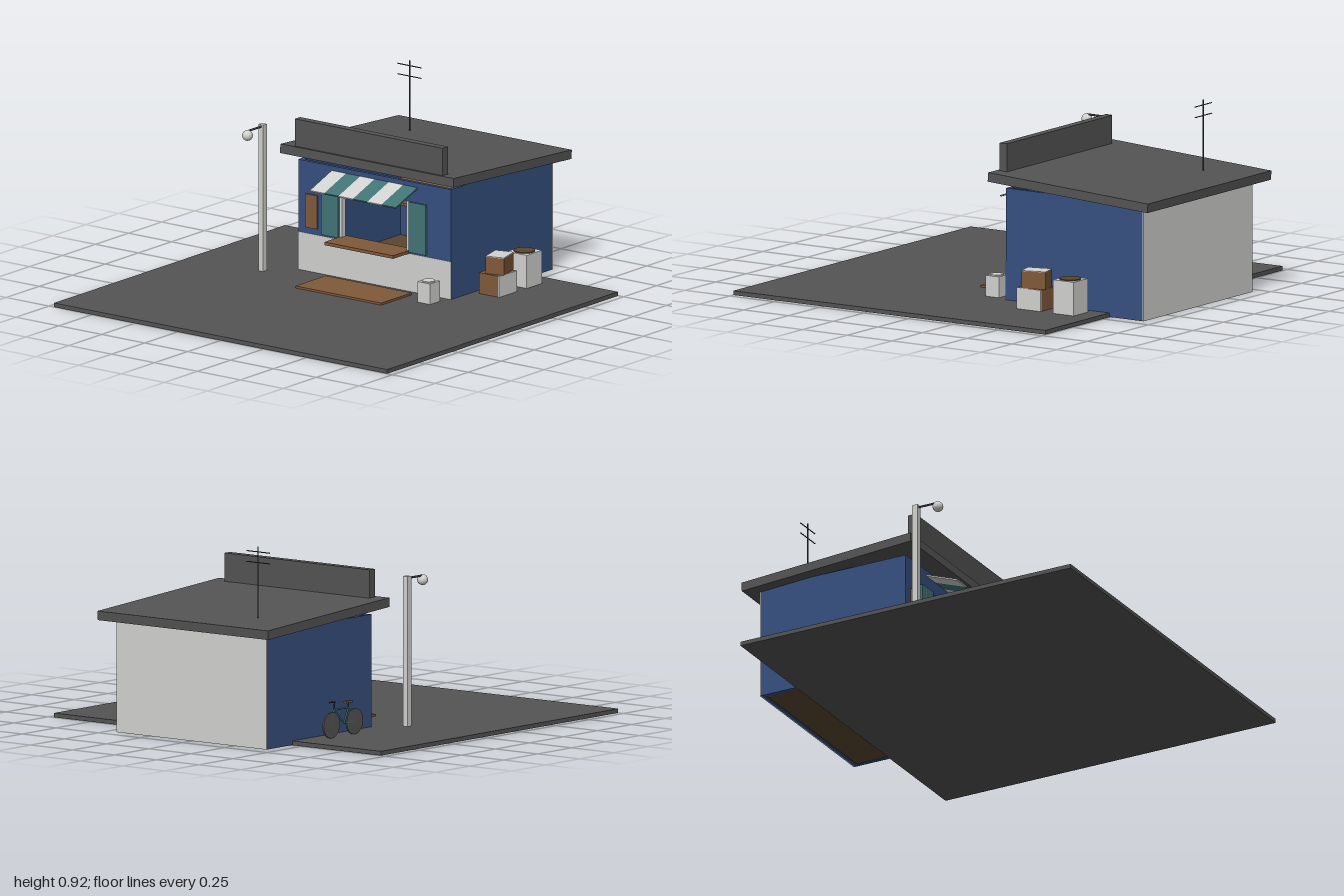
import * as THREE from 'three';

const mat = (name, color) => {
  const m = new THREE.MeshStandardMaterial({ color });
  m.name = name;
  return m;
};

export function createModel() {
  const root = new THREE.Group();
  root.name = 'kioskScene';
  const asphalt = mat('asphalt grey', 0x545454);
  const blue = mat('wall blue', 0x365080);
  const light = mat('light grey', 0xd2d2d0);
  const teal = mat('teal', 0x417476);
  const wood = mat('wood brown', 0x80593a);
  const darkWood = mat('dark brown', 0x5a4630);
  const metal = mat('dark metal', 0x3c3c3c);

  const add = (name, geo, m, x = 0, y = 0, z = 0, parent = root) => {
    const mesh = new THREE.Mesh(geo, m);
    mesh.name = name;
    mesh.position.set(x, y, z);
    parent.add(mesh);
    return mesh;
  };
  // box given by its limits on each axis
  const box = (name, m, [x0, x1], [y0, y1], [z0, z1], parent = root) =>
    add(name, new THREE.BoxGeometry(x1 - x0, y1 - y0, z1 - z0), m,
      (x0 + x1) / 2, (y0 + y1) / 2, (z0 + z1) / 2, parent);
  // round bar between two points
  const bar = (name, m, a, b, r, parent = root) => {
    const p = new THREE.Vector3(...a), q = new THREE.Vector3(...b);
    const d = q.clone().sub(p);
    const mesh = add(name, new THREE.CylinderGeometry(r, r, d.length(), 8), m, 0, 0, 0, parent);
    mesh.position.copy(p).add(q).multiplyScalar(0.5);
    mesh.quaternion.setFromUnitVectors(new THREE.Vector3(0, 1, 0), d.normalize());
    return mesh;
  };

  // ground and deck
  box('ground', asphalt, [-1, 0.745], [0, 0.02], [-0.97, 0.97]);
  box('deck', wood, [-0.11, 0.12], [0.02, 0.03], [-0.25, 0.25]);

  // building shell
  const house = new THREE.Group();
  house.name = 'building';
  root.add(house);
  box('floor', darkWood, [0.185, 0.915], [0.003, 0.03], [-0.425, 0.425], house);
  for (const s of [-1, 1]) {
    box('sideWall', blue, [0.165, 0.93], [0.001, 0.545], [s * 0.435 - 0.01, s * 0.435 + 0.01], house);
    box('facadeSide', blue, [0.165, 0.185], [0.2, 0.545], [s * 0.3125 - 0.1125, s * 0.3125 + 0.1125], house);
    box('windowPost', light, [0.16, 0.188], [0.21, 0.45], [s * 0.195 - 0.007, s * 0.195 + 0.007], house);
    box('shutter', teal, [0.153, 0.165], [0.21, 0.45], [s * 0.255 - 0.05, s * 0.255 + 0.05], house);
  }
  box('rearWallInner', blue, [0.91, 0.93], [0.001, 0.53], [-0.425, 0.425], house);
  box('rearWallPanel', light, [0.93, 0.936], [0.001, 0.53], [-0.445, 0.445], house);
  box('facadeBase', light, [0.163, 0.185], [0.001, 0.2], [-0.445, 0.445], house);
  box('facadeHead', blue, [0.165, 0.185], [0.45, 0.545], [-0.2, 0.2], house);
  box('noticeBoard', wood, [0.157, 0.165], [0.23, 0.39], [-0.4, -0.33], house);
  box('counter', wood, [0.045, 0.2], [0.2, 0.215], [-0.2, 0.2], house);
  for (const y of [0.2, 0.3, 0.4])
    box('innerShelf', wood, [0.82, 0.91], [y, y + 0.012], [-0.4, 0.4], house);

  // sloping roof and parapet board
  const roof = add('roof', new THREE.BoxGeometry(0.895, 0.043, 1.01), asphalt, 0.5525, 0.573, 0);
  roof.rotation.z = -0.059;
  box('parapet', asphalt, [0.12, 0.16], [0.6, 0.75], [-0.43, 0.43]);

  // striped awning
  const awning = new THREE.Group();
  awning.name = 'awning';
  awning.position.set(0.083, 0.49, 0);
  awning.rotation.z = Math.atan2(0.06, 0.165);
  root.add(awning);
  for (let i = 0; i < 6; i++)
    add('awningStripe', new THREE.BoxGeometry(0.176, 0.007, 0.5 / 6), i % 2 ? teal : light,
      0, 0, -0.25 + (i + 0.5) * 0.5 / 6, awning);

  // roof antenna
  bar('antennaMast', metal, [0.78, 0.56, -0.27], [0.78, 0.915, -0.27], 0.003);
  for (const y of [0.84, 0.89])
    bar('antennaBar', metal, [0.78, y, -0.34], [0.78, y, -0.203], 0.0025);

  // street lamp
  box('lampPole', light, [0.03, 0.058], [0.01, 0.72], [-0.574, -0.546]);
  bar('lampArm', metal, [0.03, 0.71, -0.56], [-0.07, 0.71, -0.56], 0.005);
  add('lampGlobe', new THREE.SphereGeometry(0.025, 20, 14), light, -0.07, 0.69, -0.56);

  // bins with round tops
  const bin = (x, z, w, top, r, m) => {
    box('bin', light, [x - w, x + w], [0.02, top], [z - w, z + w]);
    add('binTop', new THREE.CylinderGeometry(r, r, 0.006, 24), m, x, top + 0.002, z);
  };
  bin(0.593, 0.543, 0.058, 0.178, 0.05, darkWood);
  bin(0.073, 0.385, 0.037, 0.118, 0.031, light);

  // stacked crates
  box('lowerCrate', wood, [0.33, 0.465], [0.02, 0.12], [0.48, 0.592]);
  box('crateFront', light, [0.33, 0.465], [0.02, 0.12], [0.592, 0.598]);
  const crate = add('upperCrate', new THREE.BoxGeometry(0.118, 0.08, 0.092), wood, 0.405, 0.16, 0.543);
  crate.rotation.y = 0.26;
  add('crateLid', new THREE.BoxGeometry(0.118, 0.004, 0.092), light, 0, 0.041, 0, crate);

  // bicycle against the side wall
  const bike = new THREE.Group();
  bike.name = 'bicycle';
  bike.position.z = -0.53;
  root.add(bike);
  for (const x of [0.395, 0.565]) {
    const wheel = add('wheel', new THREE.CylinderGeometry(0.06, 0.06, 0.008, 28), asphalt, x, 0.08, 0, bike);
    wheel.rotation.x = Math.PI / 2;
  }
  const rear = [0.395, 0.08, 0], crank = [0.47, 0.08, 0], seat = [0.44, 0.15, 0];
  const head = [0.545, 0.15, 0], front = [0.565, 0.08, 0];
  for (const [a, b] of [[rear, crank], [rear, seat], [crank, seat], [crank, head], [seat, head], [head, front]])
    bar('frameTube', teal, a, b, 0.0045, bike);
  bar('seatPost', metal, seat, [0.437, 0.175, 0], 0.003, bike);
  bar('stem', metal, head, [0.54, 0.187, 0], 0.003, bike);
  box('saddle', wood, [0.42, 0.465], [0.172, 0.182], [-0.009, 0.009], bike);
  bar('handlebar', metal, [0.55, 0.187, -0.012], [0.55, 0.187, 0.012], 0.004, bike);
  bar('handleGrip', metal, [0.54, 0.187, 0], [0.58, 0.187, 0], 0.003, bike);

  return root;
}
